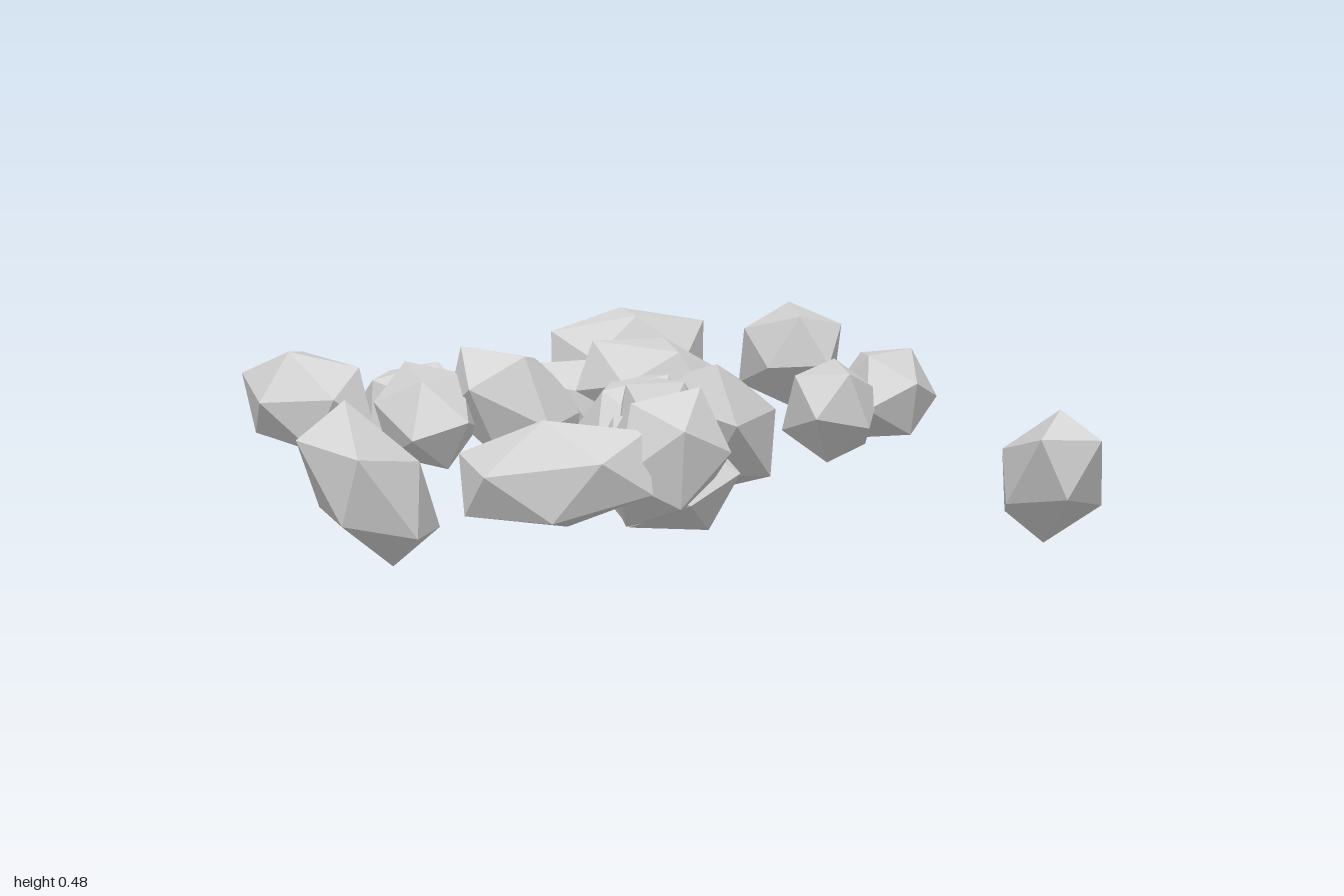
import * as THREE from 'three';

// Each rock: centre x, y, z, length, width, heading and upward tilt of its long axis in degrees
const ROCKS = [
  [0.14, 0.23, -0.84, 0.47, 0.22, 100, 0],
  [0.53, 0.28, -0.46, 0.45, 0.25, 5, 20],
  [-0.83, 0.26, -0.2, 0.43, 0.25, 30, 0],
  [-0.55, 0.21, -0.24, 0.45, 0.24, 23, 15],
  [-0.54, 0.26, 0.02, 0.4, 0.24, 4, 0],
  [-0.3, 0.26, 0, 0.43, 0.26, 120, -38],
  [-0.04, 0.25, -0.05, 0.42, 0.23, 73, -10],
  [0.04, 0.34, 0.14, 0.41, 0.22, 97, -18],
  [0.2, 0.24, 0.2, 0.44, 0.24, 143, -40],
  [-0.05, 0.25, 0.32, 0.35, 0.28, -20, -28],
  [0, 0.24, 0.4, 0.42, 0.23, 160, -62],
  [-0.04, 0.23, 0.6, 0.41, 0.26, 28, 0],
  [-0.06, 0.3, 0.73, 0.36, 0.26, 25, 50],
  [-0.32, 0.28, 0.76, 0.45, 0.24, 70, 9],
  [-0.73, 0.21, 0.51, 0.43, 0.24, 114, -54],
  [0.48, 0.27, 0.2, 0.43, 0.23, 167, -22],
  [0.66, 0.28, 0.07, 0.46, 0.23, 169, -10],
  [0.88, 0.22, 0.77, 0.46, 0.23, -6, 36],
];

// Span of a unit icosahedron from edge to opposite edge
const SPAN = 1.7;

export function createModel() {
  const group = new THREE.Group();
  group.name = 'rockCluster';
  const stone = new THREE.MeshStandardMaterial({ color: 0xd4d4d4 });
  stone.name = 'paleGreyStone';
  stone.flatShading = true;

  // Faceted boulders: long icosahedra, each rolled differently, then tilted and turned
  ROCKS.forEach(([x, y, z, length, width, heading, tilt], i) => {
    const geo = new THREE.IcosahedronGeometry(1, 0);
    geo.scale(width / SPAN, width / SPAN, length / SPAN);
    geo.rotateZ(i * 0.46);
    geo.rotateX(THREE.MathUtils.degToRad(-tilt));
    geo.rotateY(THREE.MathUtils.degToRad(heading));
    const rock = new THREE.Mesh(geo, stone);
    rock.name = `rock${i + 1}`;
    rock.position.set(x, y, z);
    group.add(rock);
  });
  return group;
}
